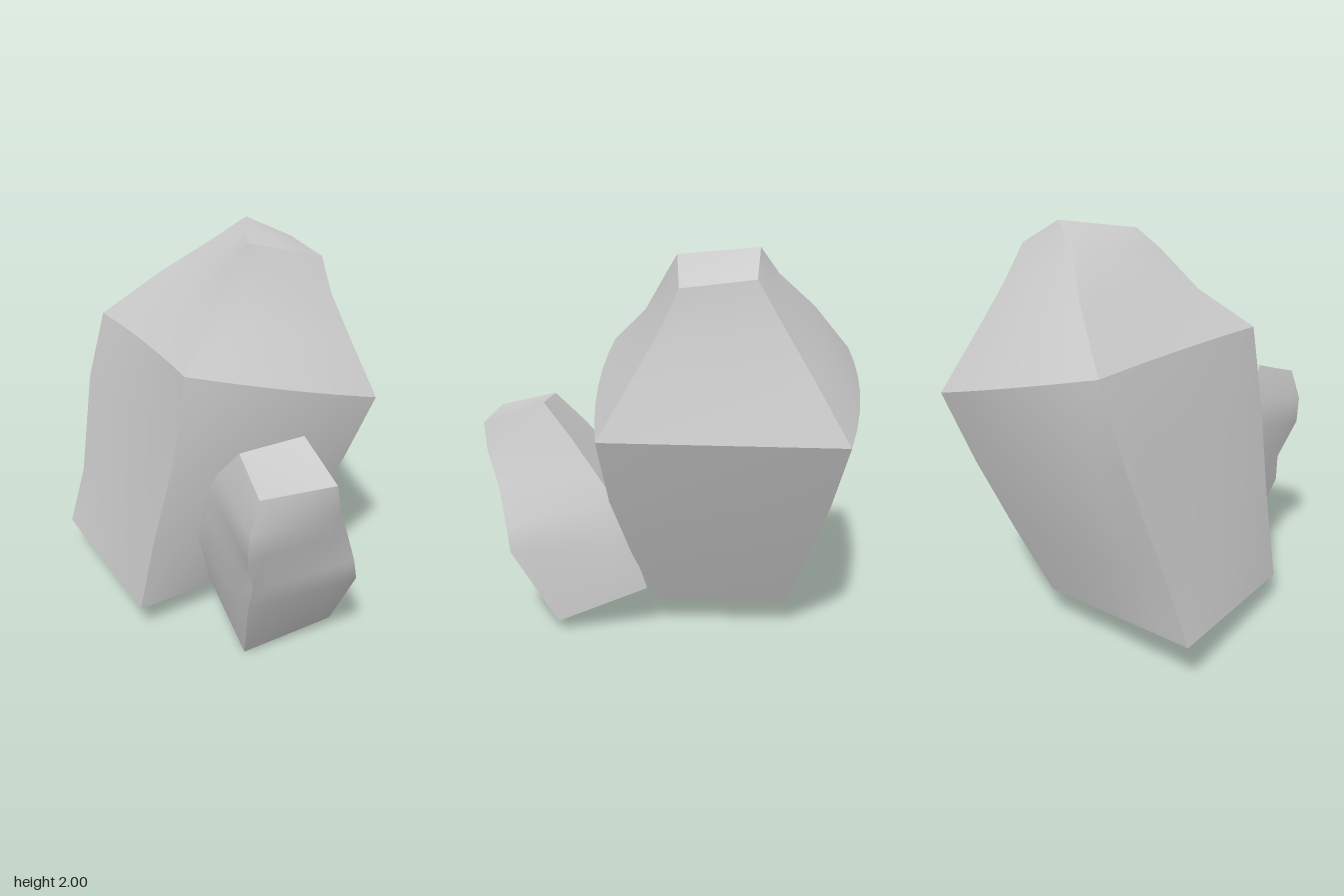
import * as THREE from 'three';

const UP = new THREE.Vector3(0, 1, 0);
const BACK = new THREE.Vector3(0, 0, -1);
const STEPS = 6;

// Smooth face spanned between two edge lines (listed top to bottom), each row bowed outward by bulge[row]
function facet(name, left, right, bulge, axis, material) {
  const pos = [], index = [];
  left.forEach((l, j) => {
    const a = new THREE.Vector3(...l), b = new THREE.Vector3(...right[j]);
    const out = b.clone().sub(a).cross(axis).normalize();
    for (let i = 0; i <= STEPS; i++) {
      const u = i / STEPS;
      const p = a.clone().lerp(b, u).addScaledVector(out, 4 * u * (1 - u) * (bulge[j] || 0));
      pos.push(p.x, p.y, p.z);
    }
  });
  const w = STEPS + 1;
  for (let j = 0; j < left.length - 1; j++) {
    for (let i = 0; i < STEPS; i++) {
      const a = j * w + i, c = a + w;
      index.push(a, c, a + 1, a + 1, c, c + 1);
    }
  }
  const g = new THREE.BufferGeometry();
  g.setAttribute('position', new THREE.Float32BufferAttribute(pos, 3));
  g.setIndex(index);
  g.computeVertexNormals();
  const mesh = new THREE.Mesh(g, material);
  mesh.name = name;
  return mesh;
}

const middle = (a, b) => a.map((v, i) => (v + b[i]) / 2);

// Four-sided rock from its corner edges (front left, front right, back right, back left as seen from the front).
// Sides are creased at the rows listed in creases.
function rock(name, edges, creases, bulges, dome, material) {
  const group = new THREE.Group();
  group.name = name;
  const sides = ['front', 'right', 'back', 'left'];
  edges.forEach((edge, s) => {
    const next = edges[(s + 1) % 4];
    for (let k = 0; k < creases.length - 1; k++) {
      const from = creases[k], to = creases[k + 1] + 1;
      group.add(facet(`${sides[s]}Face${k + 1}`, edge.slice(from, to), next.slice(from, to),
        bulges[s].slice(from, to), UP, material));
    }
  });
  const [fl, fr, br, bl] = edges.map(e => e[0]);
  group.add(facet('topFace', [bl, middle(bl, fl), fl], [br, middle(br, fr), fr], [0, dome, 0], BACK, material));
  const [gl, gr, hr, hl] = edges.map(e => e[e.length - 1]);
  group.add(facet('baseFace', [gl, hl], [gr, hr], [0, 0], UP, material));
  return group;
}

export function createModel() {
  const material = new THREE.MeshStandardMaterial({ color: 0xcccccc });
  const model = new THREE.Group();
  model.name = 'rocks';

  // Large leaning boulder: narrow top, wide shoulder (row 3), tapering base
  model.add(rock('largeRock', [
    [[0.11, 1.95, -0.04], [0.01, 1.85, 0.02], [-0.15, 1.64, 0.14], [-0.37, 1.44, 0.33],
      [-0.43, 1.03, 0.33], [-0.53, 0.52, 0.25], [-0.6, 0.14, 0.22]],
    [[0.55, 1.84, -0.07], [0.57, 1.66, 0.01], [0.63, 1.42, 0.15], [0.7, 1.16, 0.3],
      [0.55, 0.82, 0.26], [0.39, 0.48, 0.17], [0.22, 0.15, 0.06]],
    [[0.54, 1.88, -0.42], [0.57, 1.68, -0.54], [0.63, 1.45, -0.68], [0.72, 1.16, -0.85],
      [0.56, 0.82, -0.79], [0.39, 0.48, -0.71], [0.22, 0.15, -0.62]],
    [[0.28, 2, -0.44], [0.1, 1.86, -0.54], [-0.11, 1.67, -0.74], [-0.4, 1.4, -0.96],
      [-0.51, 1.03, -0.93], [-0.62, 0.5, -0.79], [-0.72, 0.19, -0.76]],
  ], [0, 3, 6], [
    [0, 0.01, 0.02, 0.04, 0.03, 0.02, 0],
    [0, 0, 0, 0, 0, 0, 0],
    [0, 0.01, 0.03, 0.05, 0.04, 0.02, 0],
    [0, 0, -0.01, -0.02, -0.01, 0, 0],
  ], 0.015, material));

  // Small boulder leaning back against the large one
  model.add(rock('smallRock', [
    [[-0.27, 1.08, 0.96], [-0.32, 0.92, 0.97], [-0.32, 0.78, 0.95], [-0.25, 0.57, 0.86],
      [-0.26, 0.44, 0.83], [-0.17, 0, 0.59]],
    [[0.105, 1.08, 0.97], [0.14, 0.94, 0.95], [0.22, 0.77, 0.88], [0.3, 0.57, 0.83],
      [0.33, 0.45, 0.81], [0.33, 0.06, 0.57]],
    [[0.1, 1.19, 0.65], [0.17, 1.02, 0.5], [0.24, 0.86, 0.37], [0.3, 0.74, 0.27],
      [0.345, 0.52, 0.18], [0.34, 0.27, 0.1]],
    [[-0.23, 1.16, 0.65], [-0.27, 1, 0.5], [-0.28, 0.86, 0.38], [-0.27, 0.7, 0.27],
      [-0.28, 0.5, 0.19], [-0.19, 0.21, 0.12]],
  ], [0, 5], [
    [0, 0.01, 0.01, 0.01, 0.01, 0],
    [0, 0, 0, 0, 0, 0],
    [0, 0, 0, 0, 0, 0],
    [0, 0, 0, 0, 0, 0],
  ], -0.015, material));

  return model;
}
